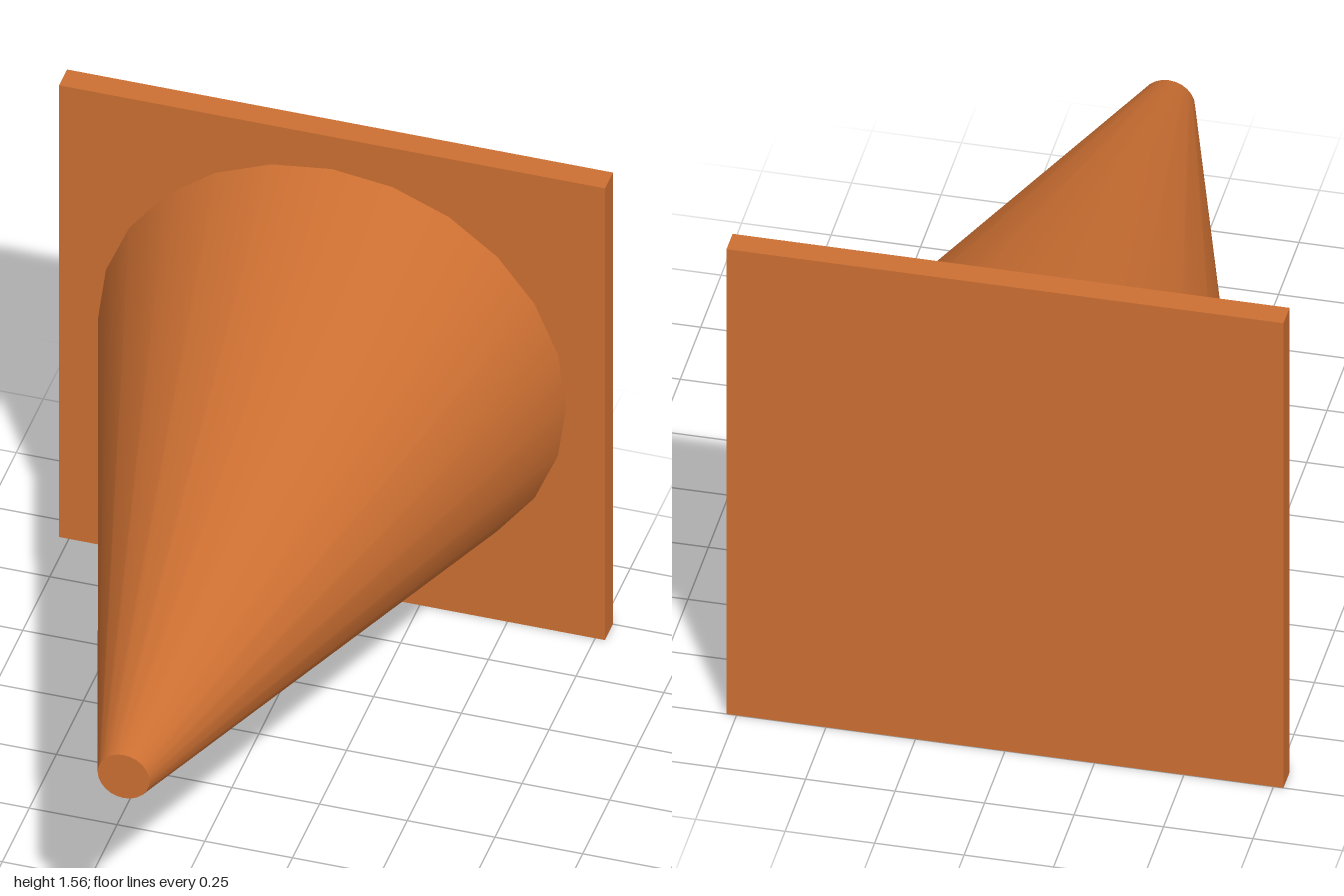
import * as THREE from 'three';

export function createModel() {
  const group = new THREE.Group();
  group.name = 'trafficCone';
  const material = new THREE.MeshStandardMaterial({ color: 0xcc6f32 });

  const halfWidth = 0.778; // half the side of the square base
  const thickness = 0.074;
  const length = 2 - thickness;

  // Square base plate, standing upright at the back
  const base = new THREE.Mesh(
    new THREE.BoxGeometry(halfWidth * 2, halfWidth * 2, thickness), material);
  base.name = 'base';
  base.position.set(0, halfWidth, -1 + thickness / 2);
  group.add(base);

  // Tapered cone with a flat tip, pointing forward
  const cone = new THREE.Mesh(
    new THREE.CylinderGeometry(0.074, 0.667, length, 24), material);
  cone.name = 'cone';
  cone.rotation.x = Math.PI / 2;
  cone.position.set(0, halfWidth, 1 - length / 2);
  group.add(cone);

  return group;
}
